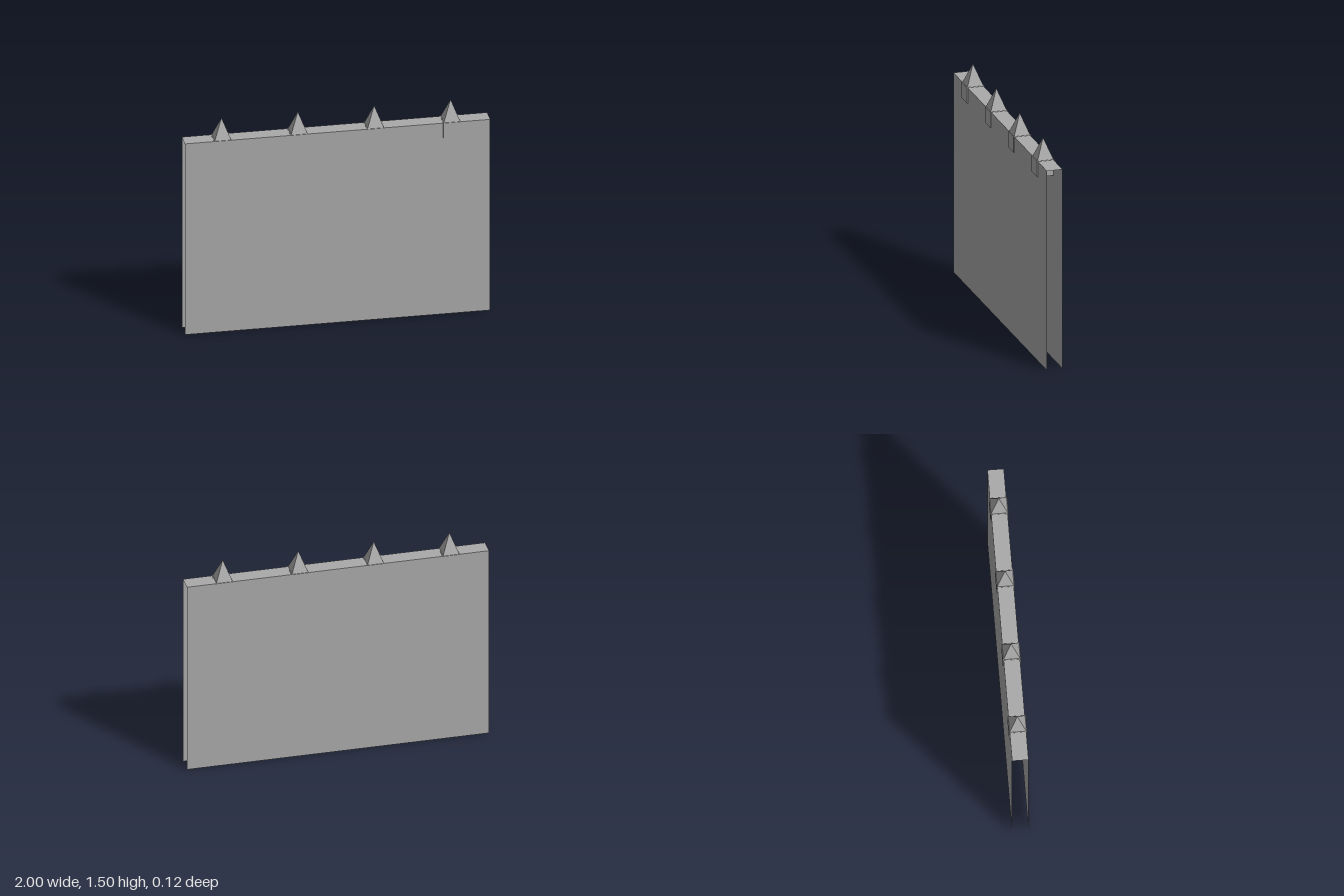
import * as THREE from 'three';

export function createModel() {
  const model = new THREE.Group();
  const stone = new THREE.MeshStandardMaterial({ color: 0xaaaaaa, side: THREE.DoubleSide });
  stone.name = 'grey stone';

  const height = 1.36, halfDepth = 0.053;

  function add(name, geometry, x, y, z, parent = model) {
    const mesh = new THREE.Mesh(geometry, stone);
    mesh.name = name;
    mesh.position.set(x, y, z);
    parent.add(mesh);
    return mesh;
  }

  // Hollow wall: two faces and a top strip, open at the ends and below
  add('wallFront', new THREE.PlaneGeometry(2, height), 0, height / 2, halfDepth);
  add('wallBack', new THREE.PlaneGeometry(2, height).rotateY(Math.PI), 0, height / 2, -halfDepth);
  add('wallTop', new THREE.PlaneGeometry(2, halfDepth * 2).rotateX(-Math.PI / 2), 0, height, 0);

  // Four square blocks capped by pyramid spikes
  const block = new THREE.BoxGeometry(0.117, 0.107, 0.117);
  const spike = new THREE.ConeGeometry(0.054 * Math.SQRT2, 0.138, 4, 1, true)
    .rotateY(Math.PI / 4).toNonIndexed();
  spike.computeVertexNormals();
  for (const x of [-0.75, -0.25, 0.25, 0.75]) {
    const post = new THREE.Group();
    post.name = 'post';
    post.position.x = x;
    add('block', block, 0, 1.3085, 0, post);
    add('spike', spike, 0, 1.431, 0, post);
    model.add(post);
  }
  return model;
}
